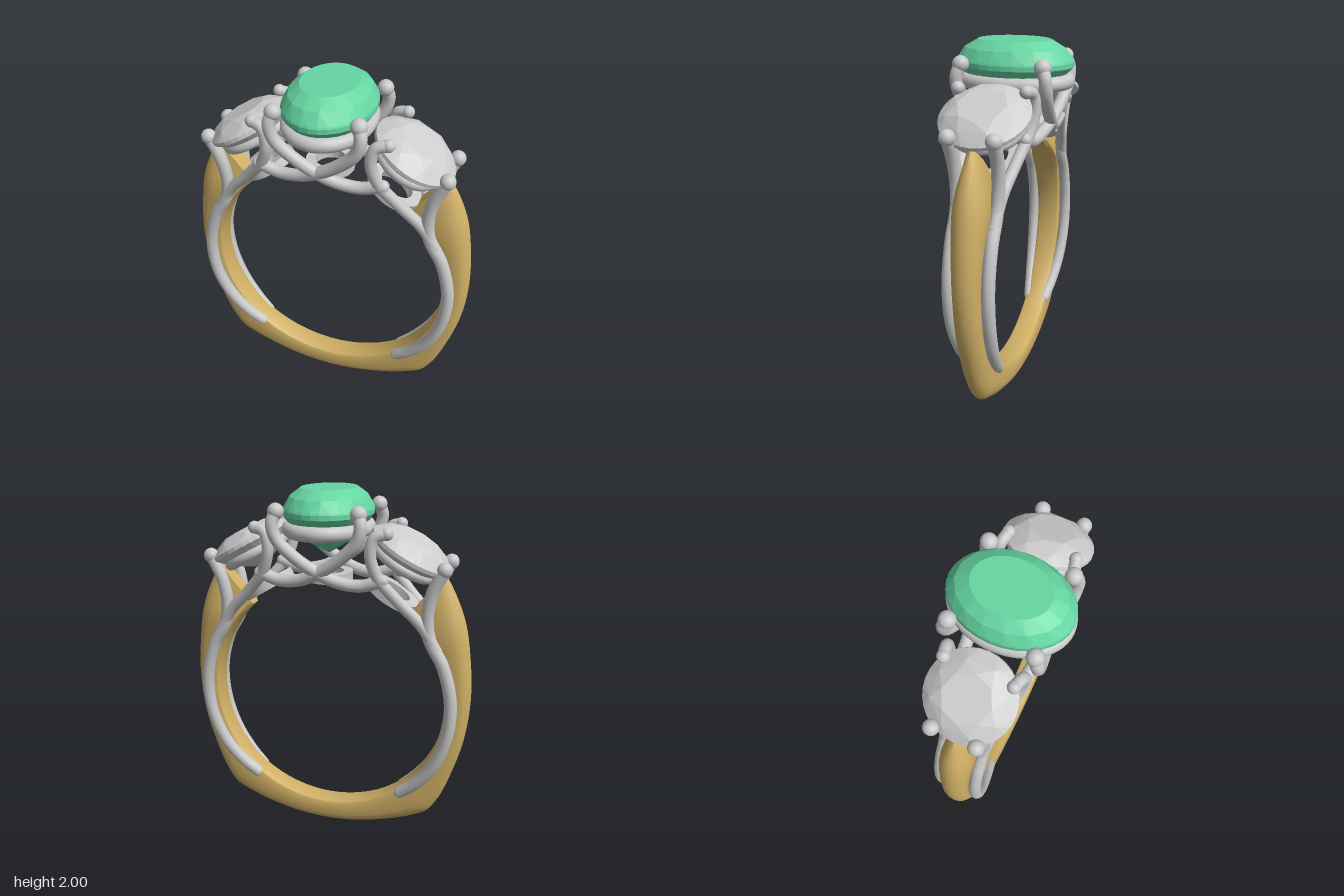
import * as THREE from 'three';
import { toCreasedNormals } from 'three/addons/utils/BufferGeometryUtils.js';
import { ConvexGeometry } from 'three/addons/geometries/ConvexGeometry.js';

const CY = 0.82; // height of the finger hole's centre
const RAD = Math.PI / 180;
const V = (x, y, z) => new THREE.Vector3(x, y, z);

const mat = (name, color) => Object.assign(new THREE.MeshStandardMaterial({ color }), { name });

function add(parent, name, geometry, material) {
  const mesh = new THREE.Mesh(geometry, material);
  mesh.name = name;
  parent.add(mesh);
  return mesh;
}

// Point on a circle round the finger hole, angle measured from the bottom
const polar = (deg, r, z) => V(Math.sin(deg * RAD) * r, CY - Math.cos(deg * RAD) * r, z);

// Round wire with ball ends
function wire(parent, name, points, r, material, tip = r) {
  const group = new THREE.Group();
  group.name = name;
  parent.add(group);
  const curve = new THREE.CatmullRomCurve3(points);
  add(group, 'wireBody', new THREE.TubeGeometry(curve, 56, r, 14), material);
  add(group, 'wireFoot', new THREE.SphereGeometry(r, 14, 10), material).position.copy(points[0]);
  add(group, 'prongTip', new THREE.SphereGeometry(tip, 16, 12), material).position.copy(points[points.length - 1]);
}

// Oval ring of round wire, lying flat
function ovalRing(rx, rz, r) {
  const pts = [];
  for (let i = 0; i < 24; i++) {
    const a = i / 24 * Math.PI * 2;
    pts.push(V(Math.cos(a) * rx, 0, Math.sin(a) * rz));
  }
  return new THREE.TubeGeometry(new THREE.CatmullRomCurve3(pts, true), 64, r, 14, true);
}

// Flat oval washer, lying flat
function washer(rx, rz, hole, depth) {
  const shape = new THREE.Shape().absellipse(0, 0, rx, rz, 0, Math.PI * 2);
  shape.holes.push(new THREE.Path().absellipse(0, 0, rx * hole, rz * hole, 0, Math.PI * 2, true));
  const geo = new THREE.ExtrudeGeometry(shape, { depth, bevelEnabled: false, curveSegments: 32 });
  return toCreasedNormals(geo.rotateX(-Math.PI / 2), 0.6);
}

// Faceted stone: rows of [scale, height, count, stagger]
function stone(rx, rz, rows) {
  const pts = [];
  for (const [s, h, n, stagger] of rows) {
    for (let i = 0; i < n; i++) {
      const a = (i + stagger) / n * Math.PI * 2;
      pts.push(V(Math.cos(a) * rx * s, h, Math.sin(a) * rz * s));
    }
  }
  return new ConvexGeometry(pts);
}

// Open band: flat inside, domed outside, with shoulders near the base
function bandGeometry() {
  // angle from the bottom, outer radius, half width
  const half = [[20.9, 0.84, 0.07], [36, 0.882, 0.07], [42, 0.902, 0.07], [47, 0.89, 0.07],
    [62, 0.836, 0.07], [76, 0.815, 0.07], [91, 0.815, 0.07], [109, 0.848, 0.078],
    [125, 0.918, 0.085], [139, 0.985, 0.05]];
  const keys = [...half.map(([a, r, w]) => V(-a, r, w)).reverse(), V(0, 0.82, 0.07),
    ...half.map(([a, r, w]) => V(a, r, w))];
  const curve = new THREE.CatmullRomCurve3(keys);
  const section = [[0.05, -0.9], [0, -0.6], [0, 0.6], [0.05, 0.9], [0.15, 1], [0.62, 1], [0.78, 0.86],
    [0.91, 0.6], [0.98, 0.3], [1, 0], [0.98, -0.3], [0.91, -0.6], [0.78, -0.86], [0.62, -1], [0.15, -1]].reverse();
  const N = 120, M = section.length, pos = [], idx = [];
  const inner = 0.677;
  for (let i = 0; i <= N; i++) {
    const k = curve.getPoint(i / N);
    for (const [t, w] of section) pos.push(...polar(k.x, inner + (k.y - inner) * t, w * k.z).toArray());
  }
  for (let i = 0; i < N; i++) for (let j = 0; j < M; j++) {
    const a = i * M + j, b = i * M + (j + 1) % M;
    idx.push(a, b, a + M, b, b + M, a + M);
  }
  for (let j = 1; j < M - 1; j++) {
    idx.push(0, j + 1, j);
    idx.push(N * M, N * M + j, N * M + j + 1);
  }
  // face outward whichever way the section runs
  const area = section.reduce((s, p, j) => {
    const q = section[(j + 1) % M];
    return s + p[0] * q[1] - q[0] * p[1];
  }, 0);
  if (area > 0) for (let i = 0; i < idx.length; i += 3) [idx[i + 1], idx[i + 2]] = [idx[i + 2], idx[i + 1]];
  const geo = new THREE.BufferGeometry();
  geo.setAttribute('position', new THREE.Float32BufferAttribute(pos, 3));
  geo.setIndex(idx);
  return toCreasedNormals(geo, 0.6);
}

export function createModel() {
  const ring = new THREE.Group();
  ring.name = 'threeStoneRing';
  const gold = mat('gold', 0xd0b066);
  const silver = mat('silver', 0xc8c8c8);
  const green = mat('greenStone', 0x66d6a2);
  const clear = mat('clearStone', 0xcdcdcd);

  add(ring, 'band', bandGeometry(), gold);

  // Centre stone with its gallery ring and seat
  add(ring, 'centreStone', stone(0.24, 0.32, [
    [0.62, 0.135, 32, 0], [0.86, 0.092, 16, 0.5], [0.985, 0.035, 32, 0], [1, 0.025, 32, 0],
    [1, 0, 32, 0], [0.93, -0.025, 32, 0], [0.6, -0.13, 16, 0.5], [0.02, -0.215, 8, 0],
  ]), green).position.y = 1.865;
  add(ring, 'centreGalleryRing', ovalRing(0.205, 0.287, 0.04), silver).position.y = 1.79;
  add(ring, 'centreSeat', washer(0.13, 0.14, 0.62, 0.05), silver).position.y = 1.5;

  for (const sx of [1, -1]) {
    const side = sx > 0 ? 'left' : 'right';

    // Tilted side stone and the ring that carries it
    const head = new THREE.Group();
    head.name = side + 'SideSetting';
    head.position.set(sx * 0.457, 1.685, 0);
    head.rotation.z = -sx * 29 * RAD;
    ring.add(head);
    add(head, 'sideStone', stone(0.235, 0.235, [
      [0.55, 0.075, 8, 0], [0.8, 0.05, 8, 0.5], [1, 0.008, 32, 0], [1, -0.012, 32, 0],
      [0.6, -0.085, 16, 0.5], [0.02, -0.16, 8, 0],
    ]), clear);
    add(head, 'sideGalleryRing', ovalRing(0.165, 0.175, 0.03), silver).position.y = -0.065;

    // Washer seat following the finger hole
    const seat = add(ring, side + 'SideSeat', washer(0.155, 0.14, 0.62, 0.05), silver);
    seat.position.set(sx * 0.345, 1.425, 0);
    seat.rotation.z = -sx * 31 * RAD;

    // Wires along the shank rising into prongs, front and back
    for (const sz of [1, -1]) {
      const flip = (pts) => pts.map((p) => V(p.x * sx, p.y, p.z * sz));
      const label = side + (sz > 0 ? 'Front' : 'Back');
      wire(ring, label + 'ShankWire', flip([
        polar(39, 0.712, 0.05), polar(48, 0.715, 0.07), polar(62, 0.72, 0.092), polar(78, 0.722, 0.104),
        polar(95, 0.722, 0.106), polar(112, 0.72, 0.106), polar(125, 0.72, 0.106),
        V(0.572, 1.36, 0.11), V(0.595, 1.49, 0.115), V(0.652, 1.615, 0.118),
      ]), 0.035, silver, 0.042);
      wire(ring, label + 'SideProng', flip([
        V(0.63, 1.17, 0.105), V(0.545, 1.31, 0.118), V(0.42, 1.44, 0.145), V(0.315, 1.57, 0.18),
        V(0.28, 1.69, 0.2), V(0.3, 1.775, 0.195), V(0.36, 1.795, 0.18),
      ]), 0.031, silver, 0.034);
      wire(ring, label + 'CentreProng', flip([
        V(-0.34, 1.55, 0.17), V(-0.22, 1.515, 0.17), V(-0.1, 1.53, 0.185), V(0, 1.575, 0.205),
        V(0.12, 1.655, 0.225), V(0.215, 1.75, 0.24), V(0.238, 1.83, 0.24), V(0.222, 1.89, 0.22),
      ]), 0.034, silver, 0.044);
    }
  }
  return ring;
}
